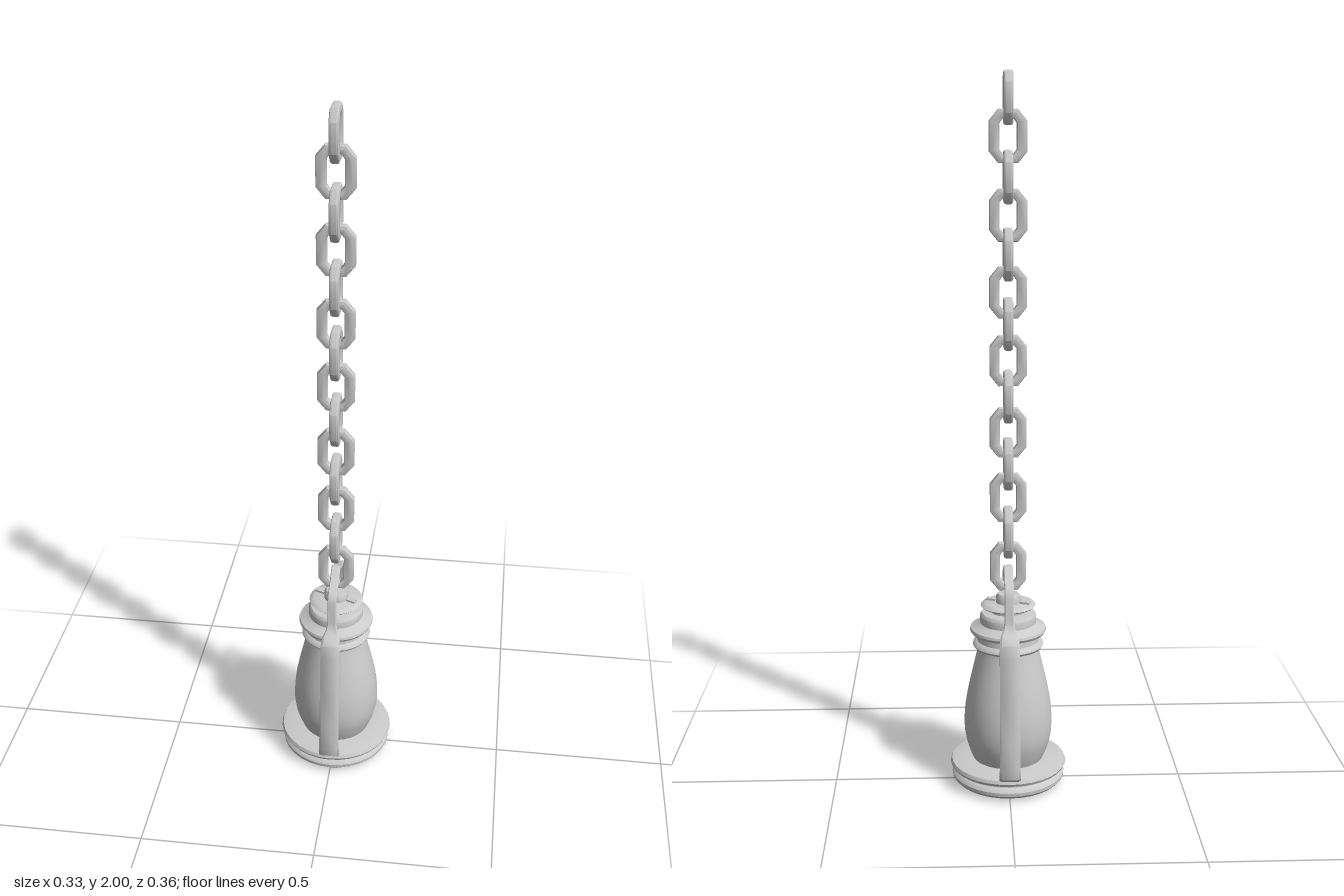
import * as THREE from 'three';
import { toCreasedNormals } from 'three/addons/utils/BufferGeometryUtils.js';

const material = new THREE.MeshStandardMaterial({ color: 0xcccccc });

function addMesh(parent, name, geometry) {
  const mesh = new THREE.Mesh(geometry, material);
  mesh.name = name;
  parent.add(mesh);
  return mesh;
}

// Turned part from [radius, height] pairs, listed bottom to top
function turned(profile, segments = 32) {
  const points = profile.map(([r, y]) => new THREE.Vector2(r, y));
  return toCreasedNormals(new THREE.LatheGeometry(points, segments), 0.65);
}

// Corners of an oblong octagon: half width, half height, chamfer width and height
function octagon(w, h, cx, cy) {
  return [
    [w, cy - h], [w, h - cy], [w - cx, h], [cx - w, h],
    [-w, h - cy], [-w, cy - h], [cx - w, -h], [w - cx, -h],
  ].map(([x, y]) => new THREE.Vector2(x, y));
}

// Chamfered oblong chain link in the xy plane, with bevelled edges
function linkGeometry() {
  const bevel = 0.007;
  const shape = new THREE.Shape(octagon(0.051 - bevel, 0.07 - bevel, 0.021, 0.026));
  shape.holes.push(new THREE.Path(octagon(0.023 + bevel, 0.047 + bevel, 0.014, 0.018)));
  const geometry = new THREE.ExtrudeGeometry(shape, {
    depth: 0.026 - 2 * bevel, bevelEnabled: true,
    bevelThickness: bevel, bevelSize: bevel, bevelSegments: 2,
  });
  geometry.translate(0, 0, bevel - 0.013);
  return toCreasedNormals(geometry, 0.7);
}

// Flat strap swept along [z, y, halfWidth, halfThickness] stations in the yz plane
function strapGeometry(stations) {
  const section = [[0.8, -1], [-0.8, -1], [-1, -0.5], [-1, 0.5], [-0.8, 1], [0.8, 1], [1, 0.5], [1, -0.5]];
  const n = section.length, positions = [], index = [];
  stations.forEach(([z, y, hw, ht], i) => {
    const a = stations[Math.max(i - 1, 0)], b = stations[Math.min(i + 1, stations.length - 1)];
    const len = Math.hypot(b[0] - a[0], b[1] - a[1]);
    const nz = (b[1] - a[1]) / len, ny = -(b[0] - a[0]) / len; // outward normal
    for (const [u, v] of section) positions.push(u * hw, y + ny * v * ht, z + nz * v * ht);
  });
  for (let i = 0; i < stations.length - 1; i++) {
    for (let j = 0; j < n; j++) {
      const a = i * n + j, b = i * n + (j + 1) % n;
      index.push(a, b, a + n, b, b + n, a + n);
    }
  }
  const last = (stations.length - 1) * n;
  for (let j = 1; j < n - 1; j++) {
    index.push(0, j + 1, j, last, last + j, last + j + 1);
  }
  const geometry = new THREE.BufferGeometry();
  geometry.setAttribute('position', new THREE.Float32BufferAttribute(positions, 3));
  geometry.setIndex(index);
  return toCreasedNormals(geometry, 0.7);
}

export function createModel() {
  const model = new THREE.Group();
  model.name = 'hangingLantern';

  // Base: two flanges with a groove between them
  addMesh(model, 'base', turned([
    [0, 0], [0.13, 0.002], [0.152, 0.009], [0.161, 0.018], [0.162, 0.028], [0.156, 0.037],
    [0.15, 0.041], [0.15, 0.046], [0.163, 0.05], [0.167, 0.058], [0.163, 0.067],
    [0.125, 0.074], [0, 0.074],
  ]));

  // Pear-shaped glass
  const glass = new THREE.SplineCurve([
    [0.1, 0.07], [0.112, 0.1], [0.123, 0.14], [0.126, 0.185], [0.122, 0.24],
    [0.111, 0.3], [0.097, 0.36], [0.087, 0.405], [0.084, 0.44],
  ].map(([r, y]) => new THREE.Vector2(r, y)));
  addMesh(model, 'glass', new THREE.LatheGeometry(glass.getPoints(24), 32));

  // Collar with two rings, and the cap above
  addMesh(model, 'collar', turned([
    [0.084, 0.405], [0.097, 0.411], [0.101, 0.417], [0.098, 0.424], [0.088, 0.43], [0.086, 0.448],
    [0.104, 0.453], [0.109, 0.461], [0.107, 0.468], [0.088, 0.476], [0.08, 0.482],
    [0.08, 0.503], [0.074, 0.511], [0.05, 0.514], [0, 0.514],
  ]));
  addMesh(model, 'capNeck', turned([
    [0.05, 0.51], [0.05, 0.53], [0.035, 0.54], [0.035, 0.558], [0.029, 0.567], [0, 0.569],
  ], 24));

  // Thin lid plate and its two small tabs
  addMesh(model, 'lidPlate', turned([
    [0, 0.529], [0.074, 0.529], [0.078, 0.533], [0.074, 0.537], [0.063, 0.541], [0, 0.541],
  ]));
  for (const side of [-1, 1]) {
    const tab = addMesh(model, 'lidTab', new THREE.BoxGeometry(0.028, 0.012, 0.016));
    tab.position.set(side * 0.047, 0.541, side * 0.018);
    tab.rotation.y = -0.4;
  }

  // Frame: wide side straps narrowing into the bail over the top
  const half = [
    [0.135, 0.066, 0.03, 0.008], [0.155, 0.069, 0.03, 0.008], [0.167, 0.08, 0.03, 0.009],
    [0.17, 0.105, 0.029, 0.009], [0.163, 0.2, 0.028, 0.009], [0.15, 0.32, 0.028, 0.009],
    [0.137, 0.425, 0.028, 0.009], [0.13, 0.455, 0.028, 0.009], [0.113, 0.476, 0.025, 0.009],
    [0.1, 0.492, 0.017, 0.007], [0.094, 0.515, 0.013, 0.006], [0.094, 0.585, 0.013, 0.006],
    [0.088, 0.6, 0.013, 0.006], [0.072, 0.61, 0.013, 0.006], [0.035, 0.623, 0.013, 0.006],
    [0.02, 0.633, 0.013, 0.006], [0.01, 0.641, 0.013, 0.006],
  ];
  const mirrored = half.map(([z, ...rest]) => [-z, ...rest]).reverse();
  addMesh(model, 'frameAndBail', strapGeometry([...half, [0, 0.643, 0.013, 0.006], ...mirrored]));

  // Chain: links alternate a quarter turn, listed by the height of their tops
  const tops = [2, 1.902, 1.796, 1.696, 1.592, 1.49, 1.405, 1.304, 1.204, 1.103, 1.014, 0.918, 0.817, 0.717];
  const chain = new THREE.Group();
  chain.name = 'chain';
  model.add(chain);
  const link = linkGeometry();
  tops.forEach((top, i) => {
    const mesh = addMesh(chain, 'chainLink', link);
    mesh.position.y = top - 0.07;
    if (i % 2 === 0) mesh.rotation.y = Math.PI / 2;
  });

  return model;
}
